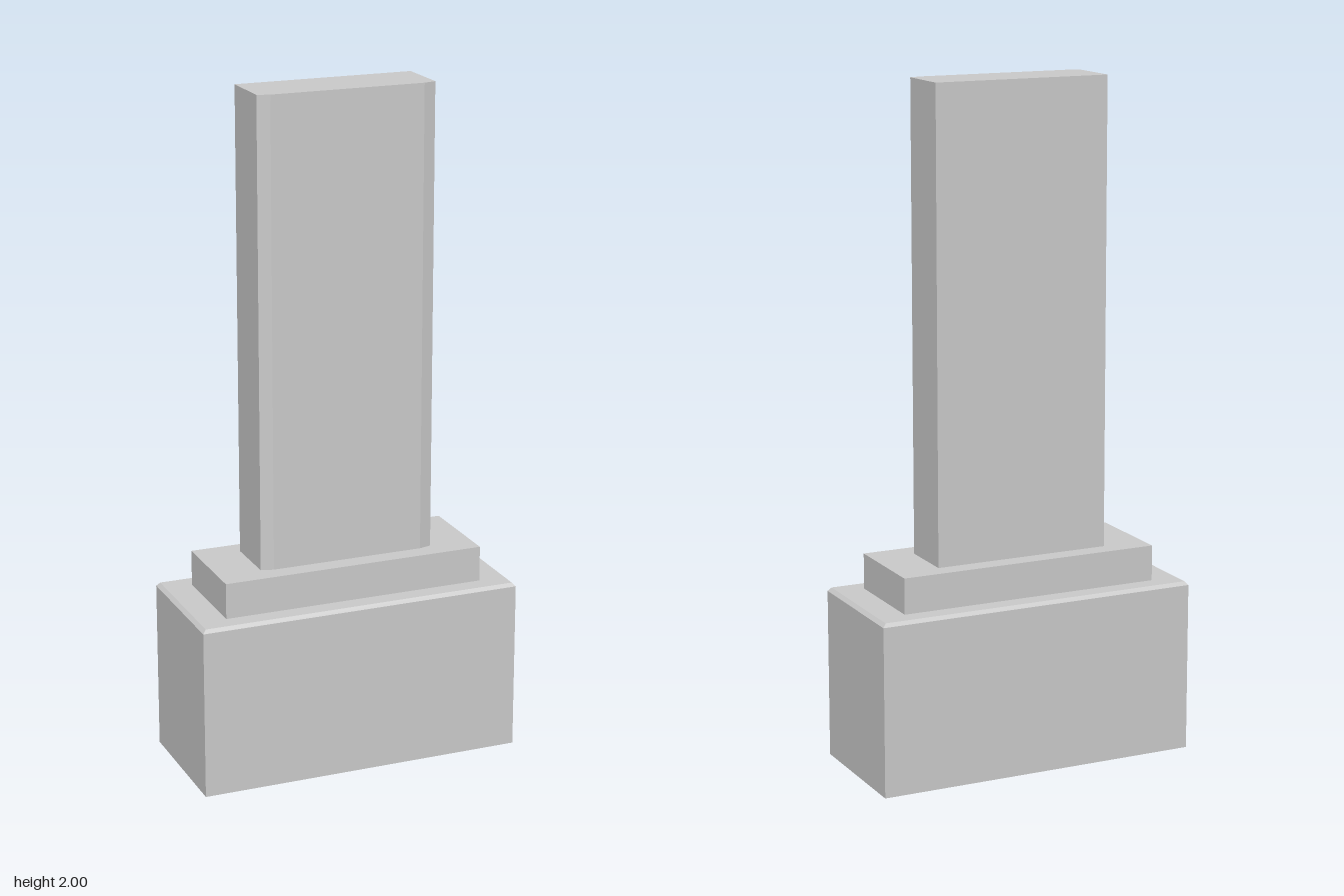
import * as THREE from 'three';

const material = new THREE.MeshStandardMaterial({ color: 0xcccccc, flatShading: true, side: THREE.DoubleSide });

// Rectangle outline in plan, counter-clockwise seen from above: [x, z] pairs
const rect = (x, z) => [[-x, z], [x, z], [x, -z], [-x, -z]];

// Walls through a stack of { y, outline } sections, closed on top and open below
function stack(name, sections) {
  const pos = [];
  const point = (s, i) => {
    const [x, z] = s.outline[i % s.outline.length];
    return [x, s.y, z];
  };
  const count = sections[0].outline.length;
  for (let k = 0; k < sections.length - 1; k++) {
    const lo = sections[k], hi = sections[k + 1];
    for (let i = 0; i < count; i++) {
      const a = point(lo, i), b = point(lo, i + 1), c = point(hi, i + 1), d = point(hi, i);
      pos.push(...a, ...b, ...c, ...a, ...c, ...d);
    }
  }
  const top = sections[sections.length - 1];
  for (let i = 1; i < count - 1; i++) pos.push(...point(top, 0), ...point(top, i), ...point(top, i + 1));

  const geometry = new THREE.BufferGeometry();
  geometry.setAttribute('position', new THREE.Float32BufferAttribute(pos, 3));
  geometry.computeVertexNormals();
  const mesh = new THREE.Mesh(geometry, material);
  mesh.name = name;
  return mesh;
}

export function createModel() {
  const group = new THREE.Group();
  group.name = 'pillarMonument';

  // Hollow plinth with a small bevel round its top edge
  group.add(stack('plinth', [
    { y: 0, outline: rect(0.489, 0.205) },
    { y: 0.503, outline: rect(0.489, 0.205) },
    { y: 0.514, outline: rect(0.479, 0.198) },
  ]));

  // Step between plinth and slab
  const step = rect(0.398, 0.146);
  group.add(stack('step', [{ y: 0.514, outline: step }, { y: 0.62, outline: step }]));

  // Upright slab with its two front corners cut back
  const slab = [[-0.23, 0.09], [0.23, 0.09], [0.267, 0.08], [0.267, -0.09], [-0.267, -0.09], [-0.267, 0.08]];
  group.add(stack('slab', [{ y: 0.62, outline: slab }, { y: 2, outline: slab }]));

  return group;
}
